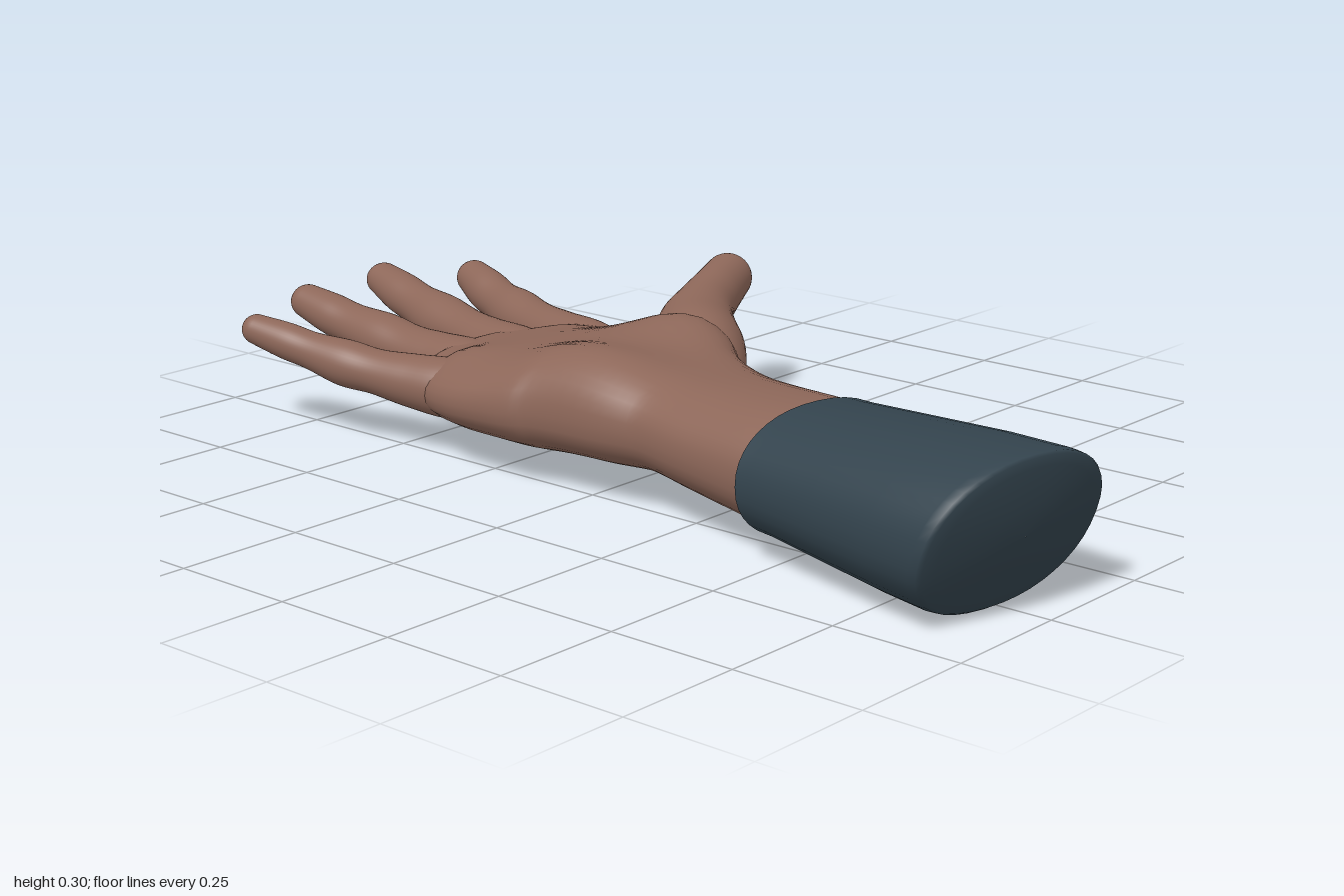
import * as THREE from 'three';

const skin = new THREE.MeshStandardMaterial({ color: 0x8d6759 });
skin.name = 'skin brown';
const cloth = new THREE.MeshStandardMaterial({ color: 0x33434d });
cloth.name = 'slate sleeve';

const SIDES = 40;
const UP = new THREE.Vector3(0, 1, 0);
const power = (v, n) => Math.sign(v) * Math.abs(v) ** (2 / n);

// Skins a list of rings { c: centre, dir, w, h, shear } with smooth outward faces.
// A repeated ring leaves a sharp edge.
function skinRings(rings, n = 2) {
  const pos = [], index = [];
  for (const { c, dir, w, h, shear = 0 } of rings) {
    const side = new THREE.Vector3().crossVectors(UP, dir).normalize();
    const up = new THREE.Vector3().crossVectors(dir, side);
    for (let j = 0; j < SIDES; j++) {
      const a = (j / SIDES) * Math.PI * 2;
      const p = c.clone()
        .addScaledVector(side, w * power(Math.cos(a), n))
        .addScaledVector(up, h * power(Math.sin(a), n));
      pos.push(p.x, p.y, p.z + shear * (p.y - c.y));
    }
  }
  for (let i = 0; i < rings.length - 1; i++) {
    for (let j = 0; j < SIDES; j++) {
      const a = i * SIDES + j, b = i * SIDES + ((j + 1) % SIDES);
      index.push(a, b, a + SIDES, b, b + SIDES, a + SIDES);
    }
  }
  const geo = new THREE.BufferGeometry();
  geo.setAttribute('position', new THREE.Float32BufferAttribute(pos, 3));
  geo.setIndex(index);
  geo.computeVertexNormals();
  return geo;
}

// Smooth limb through sections [x, y, z, halfWidth, halfHeight], with a rounded far end.
function limb(name, sections, n = 2) {
  const path = new THREE.CatmullRomCurve3(
    sections.map(s => new THREE.Vector3(s[0], s[1], s[2])), false, 'catmullrom');
  const size = new THREE.CatmullRomCurve3(
    sections.map(s => new THREE.Vector3(s[3], s[4], 0)), false, 'catmullrom');
  const steps = (sections.length - 1) * 6, rings = [];
  for (let i = 0; i <= steps; i++) {
    const t = i / steps, r = size.getPoint(t);
    rings.push({ c: path.getPoint(t), dir: path.getTangent(t), w: r.x, h: r.y });
  }
  const end = rings[steps], reach = Math.min(end.w, end.h);
  for (let k = 1; k <= 8; k++) {
    const a = (k / 8) * Math.PI / 2, f = Math.max(Math.cos(a), 0.002);
    rings.push({
      c: end.c.clone().addScaledVector(end.dir, reach * Math.sin(a)),
      dir: end.dir, w: end.w * f, h: end.h * f,
    });
  }
  const mesh = new THREE.Mesh(skinRings(rings, n), skin);
  mesh.name = name;
  return mesh;
}

// Raises soft muscle pads [x, z, spreadX, spreadZ, height] on the upper side of a mesh
function raisePads(mesh, pads) {
  const p = mesh.geometry.attributes.position;
  for (let i = 0; i < p.count; i++) {
    const x = p.getX(i), y = p.getY(i), z = p.getZ(i);
    const upper = THREE.MathUtils.smoothstep(y, 0.12, 0.2);
    let lift = 0;
    for (const [px, pz, sx, sz, height] of pads) {
      lift += height * Math.exp(-(((x - px) / sx) ** 2) - ((z - pz) / sz) ** 2);
    }
    p.setY(i, y + lift * upper);
  }
  mesh.geometry.computeVertexNormals();
  return mesh;
}

// Sleeve cuff: turned-in mouth, flaring tube and slanted, slightly domed end
function makeCuff() {
  const dir = new THREE.Vector3(-0.18, 0, 0.98).normalize();
  const ring = (x, y, z, w, h, shear = 0) => ({ c: new THREE.Vector3(x, y, z), dir, w, h, shear });
  const lip = [-0.2, 0.14, 0.48, 0.184, 0.119];
  const rings = [
    ring(-0.203, 0.14, 0.5, 0.155, 0.1),
    ring(-0.2, 0.14, 0.48, 0.172, 0.109),
    ring(...lip), ring(...lip),
    ring(-0.206, 0.14, 0.515, 0.184, 0.12),
    ring(-0.235, 0.141, 0.67, 0.191, 0.131, 0.1),
    ring(-0.262, 0.143, 0.81, 0.197, 0.14, 0.22),
    ring(-0.281, 0.143, 0.92, 0.2, 0.143, 0.31),
    ring(-0.284, 0.143, 0.938, 0.198, 0.141, 0.33),
  ];
  for (const f of [0.97, 0.85, 0.65, 0.4, 0.2, 0.002]) {
    rings.push(ring(-0.284, 0.143, 0.943 + 0.025 * (1 - f * f), 0.198 * f, 0.141 * f, 0.33));
  }
  const mesh = new THREE.Mesh(skinRings(rings, 2.2), cloth);
  mesh.name = 'sleeveCuff';
  return mesh;
}

export function createModel() {
  const hand = new THREE.Group();
  hand.name = 'openHand';

  // Forearm, wrist and palm in one sweep
  const palm = limb('forearmAndPalm', [
    [-0.215, 0.14, 0.58, 0.165, 0.108],
    [-0.193, 0.143, 0.45, 0.167, 0.108],
    [-0.165, 0.146, 0.3, 0.166, 0.098],
    [-0.135, 0.148, 0.17, 0.171, 0.09],
    [-0.122, 0.149, 0.05, 0.198, 0.096],
    [-0.088, 0.145, -0.08, 0.245, 0.1],
    [-0.074, 0.137, -0.2, 0.257, 0.093],
    [-0.064, 0.13, -0.3, 0.256, 0.083],
    [-0.055, 0.127, -0.39, 0.232, 0.07],
    [-0.056, 0.127, -0.46, 0.182, 0.057],
  ], 2.3);

  // Muscle pads at the heel of the palm and below the fingers
  hand.add(raisePads(palm, [
    [-0.24, -0.02, 0.1, 0.17, 0.034],
    [0.07, -0.02, 0.11, 0.15, 0.05],
    [0.13, -0.39, 0.06, 0.08, 0.012],
    [-0.22, -0.36, 0.06, 0.08, 0.012],
  ]));

  // Thumb, rising out of the palm
  hand.add(limb('thumb', [
    [-0.02, 0.145, 0.1, 0.03, 0.03],
    [0.04, 0.16, 0.035, 0.068, 0.07],
    [0.11, 0.184, -0.05, 0.09, 0.088],
    [0.2, 0.208, -0.135, 0.078, 0.069],
    [0.28, 0.223, -0.183, 0.06, 0.06],
    [0.35, 0.236, -0.213, 0.053, 0.056],
    [0.425, 0.25, -0.244, 0.05, 0.05],
  ]));

  // Fingers, swelling a little at each joint
  const fingers = {
    indexFinger: [
      [0.095, 0.13, -0.22, 0.04, 0.04],
      [0.138, 0.13, -0.35, 0.065, 0.062],
      [0.17, 0.132, -0.47, 0.06, 0.058],
      [0.203, 0.137, -0.57, 0.053, 0.05],
      [0.235, 0.14, -0.655, 0.054, 0.054],
      [0.262, 0.15, -0.73, 0.045, 0.044],
      [0.282, 0.162, -0.79, 0.045, 0.045],
      [0.305, 0.177, -0.854, 0.038, 0.037],
    ],
    middleFinger: [
      [0.005, 0.125, -0.3, 0.04, 0.04],
      [0.025, 0.125, -0.44, 0.066, 0.062],
      [0.045, 0.13, -0.55, 0.06, 0.056],
      [0.068, 0.138, -0.64, 0.053, 0.048],
      [0.092, 0.143, -0.735, 0.056, 0.054],
      [0.111, 0.157, -0.82, 0.046, 0.044],
      [0.126, 0.17, -0.89, 0.045, 0.043],
      [0.141, 0.186, -0.962, 0.038, 0.035],
    ],
    ringFinger: [
      [-0.105, 0.125, -0.3, 0.04, 0.04],
      [-0.103, 0.125, -0.45, 0.066, 0.061],
      [-0.1, 0.13, -0.55, 0.06, 0.055],
      [-0.098, 0.137, -0.63, 0.054, 0.048],
      [-0.096, 0.145, -0.71, 0.054, 0.052],
      [-0.095, 0.158, -0.8, 0.045, 0.043],
      [-0.095, 0.17, -0.865, 0.044, 0.042],
      [-0.097, 0.186, -0.936, 0.037, 0.035],
    ],
    littleFinger: [
      [-0.195, 0.13, -0.24, 0.04, 0.04],
      [-0.23, 0.13, -0.36, 0.06, 0.058],
      [-0.255, 0.135, -0.46, 0.054, 0.052],
      [-0.276, 0.143, -0.54, 0.046, 0.044],
      [-0.293, 0.152, -0.61, 0.046, 0.046],
      [-0.312, 0.167, -0.685, 0.037, 0.037],
      [-0.326, 0.18, -0.745, 0.036, 0.036],
      [-0.343, 0.195, -0.811, 0.03, 0.03],
    ],
  };
  for (const [name, sections] of Object.entries(fingers)) hand.add(limb(name, sections));

  hand.add(makeCuff());
  return hand;
}
